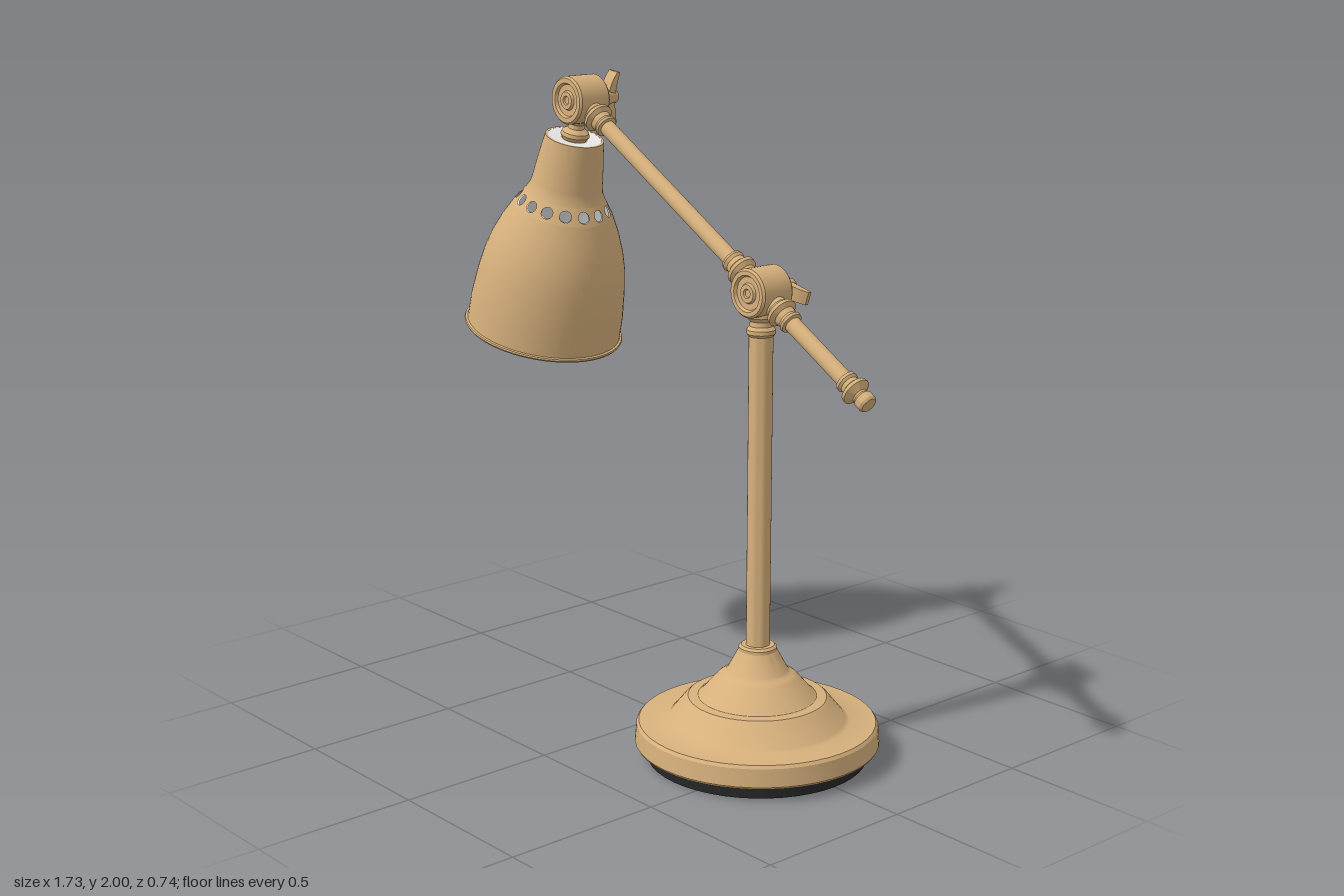
import * as THREE from 'three';
import { toCreasedNormals, mergeGeometries } from 'three/addons/utils/BufferGeometryUtils.js';

const material = (name, color) => {
  const m = new THREE.MeshStandardMaterial({ color, side: THREE.DoubleSide });
  m.name = name;
  return m;
};
const brass = material('warm tan', 0xd6b07c);
const white = material('inner white', 0xececec);
const rubber = material('black rubber', 0x262626);

const HEAD = [-0.413, 1.92, 0];
const ELBOW = [0.413, 1.437, 0];
const ARM_ANGLE = -2.1;
const SHADE_ANGLE = -0.263;

function add(parent, name, geometry, mat = brass) {
  const mesh = new THREE.Mesh(geometry, mat);
  mesh.name = name;
  parent.add(mesh);
  return mesh;
}

function group(parent, name, position, rotationZ = 0) {
  const g = new THREE.Group();
  g.name = name;
  g.position.set(...position);
  g.rotation.z = rotationZ;
  parent.add(g);
  return g;
}

// Turned part: [radius, height] pairs from bottom to top
function turned(profile, segments = 32) {
  const points = profile.map(([r, y]) => new THREE.Vector2(r, y));
  return toCreasedNormals(new THREE.LatheGeometry(points, segments), 0.55);
}

// Conical band pierced by a ring of round holes
function piercedBand(r0, y0, r1, y1, count, holeRadius) {
  const slant = Math.hypot(r1 - r0, y1 - y0);
  const step = (Math.PI * 2) / count;
  const mid = (r0 + r1) / 2;
  const w = (mid * step) / 2, h = slant / 2;
  const outline = [];
  for (let i = 0; i <= 4; i++) outline.push(new THREE.Vector2(-w + (i * w) / 2, -h));
  for (let i = 4; i >= 0; i--) outline.push(new THREE.Vector2(-w + (i * w) / 2, h));
  const shape = new THREE.Shape(outline);
  shape.holes.push(new THREE.Path().absarc(0, 0, holeRadius, 0, Math.PI * 2, true));
  const cells = [];
  for (let k = 0; k < count; k++) {
    const g = new THREE.ShapeGeometry(shape, 8);
    const p = g.attributes.position, n = g.attributes.normal;
    for (let i = 0; i < p.count; i++) {
      const a = Math.PI + k * step - p.getX(i) / mid;
      const t = (p.getY(i) + h) / slant;
      const r = r0 + (r1 - r0) * t;
      p.setXYZ(i, r * Math.cos(a), y0 + (y1 - y0) * t, r * Math.sin(a));
      const out = (y1 - y0) / slant;
      n.setXYZ(i, out * Math.cos(a), (r0 - r1) / slant, out * Math.sin(a));
    }
    cells.push(g);
  }
  return mergeGeometries(cells);
}

// Round pivot with grooved faces, and a wing nut behind it
function pivot(parent, name, position, radius, nutZ, nutAngle) {
  const g = group(parent, name, position);
  const half = [
    [radius, 0.053], [radius - 0.006, 0.06], [0.054, 0.06], [0.049, 0.051],
    [0.031, 0.051], [0.027, 0.059], [0.014, 0.059], [0.011, 0.054], [0, 0.054],
  ];
  const back = half.map(([r, y]) => [r, -y]).reverse();
  add(g, 'pivotHub', turned([...back, ...half], 36)).rotation.x = Math.PI / 2;

  const nut = group(g, 'wingNut', [0, 0, nutZ], nutAngle);
  const stud = add(nut, 'stud', new THREE.CylinderGeometry(0.014, 0.014, 0.06, 16));
  stud.rotation.x = Math.PI / 2;
  stud.position.z = 0.02;
  const body = add(nut, 'nutBody', turned([
    [0, -0.05], [0.02, -0.05], [0.023, -0.046], [0.03, -0.004], [0.027, 0], [0, 0],
  ], 24));
  body.rotation.x = Math.PI / 2;
  const blade = new THREE.Shape();
  blade.moveTo(0.012, -0.008);
  blade.quadraticCurveTo(0.05, -0.012, 0.08, -0.036);
  blade.lineTo(0.08, -0.047);
  blade.quadraticCurveTo(0.045, -0.038, 0.012, -0.034);
  blade.closePath();
  for (const turn of [0, Math.PI]) {
    const geometry = new THREE.ExtrudeGeometry(blade, { depth: 0.042, bevelEnabled: false, curveSegments: 6 });
    geometry.translate(0, 0, -0.021).rotateX(Math.PI / 2);
    // Keep the blade leaning away from the hub
    if (geometry.boundingBox === null) geometry.computeBoundingBox();
    if (geometry.boundingBox.max.z > 0.01) geometry.rotateX(Math.PI);
    geometry.rotateZ(turn);
    add(nut, 'wing', geometry);
  }
}

function buildShade(parent) {
  const shade = group(parent, 'shade', HEAD, SHADE_ANGLE);
  add(shade, 'shadeNeck', turned([
    [0.036, -0.135], [0.046, -0.118], [0.043, -0.106], [0.026, -0.094], [0.024, -0.08], [0.034, -0.06],
  ]));
  const lower = [
    [0.25, -0.776], [0.249, -0.765], [0.248, -0.7], [0.238, -0.6], [0.228, -0.54],
    [0.213, -0.485], [0.19, -0.425], [0.16, -0.365],
  ];
  const upper = [[0.127, -0.315], [0.117, -0.295], [0.113, -0.275], [0.104, -0.2], [0.093, -0.125]];
  const inset = (list) => list.map(([r, y]) => [r - 0.006, y]);
  const rim = [[0.244, -0.788], [0.256, -0.788], [0.259, -0.783], [0.257, -0.778]];
  const cap = [[0.085, -0.125], [0.08, -0.131], [0, -0.131]];
  add(shade, 'shadeBell', turned([...rim, ...lower], 60));
  add(shade, 'shadeHoleBand', piercedBand(0.16, -0.365, 0.127, -0.315, 15, 0.019));
  add(shade, 'shadeCollar', turned([...upper, ...cap], 60));
  add(shade, 'innerBell', turned([[0.244, -0.787], ...inset(lower)], 60), white);
  add(shade, 'innerHoleBand', piercedBand(0.154, -0.365, 0.121, -0.315, 15, 0.019), white);
  add(shade, 'innerCollar', turned([...inset(upper), [0, -0.137]], 60), white);
}

export function createModel() {
  const lamp = new THREE.Group();
  lamp.name = 'deskLamp';

  // Stepped foot on a rubber pad
  const foot = group(lamp, 'foot', [ELBOW[0], 0, 0]);
  add(foot, 'rubberPad', turned([[0, 0], [0.335, 0], [0.335, 0.046], [0, 0.046]], 48), rubber);
  add(foot, 'steppedBase', turned([
    [0, 0.043], [0.368, 0.043], [0.372, 0.05], [0.367, 0.105], [0.36, 0.114], [0.28, 0.116],
    [0.268, 0.123], [0.222, 0.18], [0.21, 0.19], [0.18, 0.192], [0.17, 0.2], [0.122, 0.255],
    [0.11, 0.264], [0.1, 0.268], [0.092, 0.276], [0.066, 0.325], [0.058, 0.338],
    [0.058, 0.348], [0.05, 0.355], [0.03, 0.355],
  ], 48));
  add(foot, 'pole', turned([
    [0.036, 0.34], [0.036, 1.305], [0.043, 1.313], [0.043, 1.325], [0.034, 1.335],
    [0.033, 1.35], [0.044, 1.362], [0.044, 1.374], [0.032, 1.39],
  ]));

  // Arm running from the head pivot through the elbow to its end knob
  const arm = group(lamp, 'arm', HEAD, ARM_ANGLE);
  add(arm, 'armRod', new THREE.CylinderGeometry(0.025, 0.025, 1.36, 24).translate(0, 0.74, 0));
  const collar = [
    [0.032, 0.06], [0.034, 0.08], [0.046, 0.092], [0.047, 0.103], [0.034, 0.113],
    [0.031, 0.13], [0.036, 0.14], [0.034, 0.148], [0.024, 0.151],
  ];
  const elbowAt = 0.957;
  const outward = (base) => collar.map(([r, y]) => [r, base + y]);
  add(arm, 'headCollar', turned(outward(0)));
  add(arm, 'innerElbowCollar', turned(collar.map(([r, y]) => [r, elbowAt - y]).reverse()));
  add(arm, 'outerElbowCollar', turned(outward(elbowAt)));
  add(arm, 'endKnob', turned([
    [0.024, 1.354], [0.033, 1.358], [0.034, 1.368], [0.028, 1.375], [0.029, 1.388], [0.043, 1.397],
    [0.044, 1.408], [0.032, 1.417], [0.024, 1.424], [0.024, 1.43], [0.029, 1.437], [0.029, 1.458],
    [0.024, 1.466], [0, 1.468],
  ]));

  pivot(lamp, 'headPivot', HEAD, 0.075, -0.088, 1.45);
  pivot(lamp, 'elbowPivot', ELBOW, 0.073, -0.074, -0.33);
  buildShade(lamp);
  return lamp;
}
